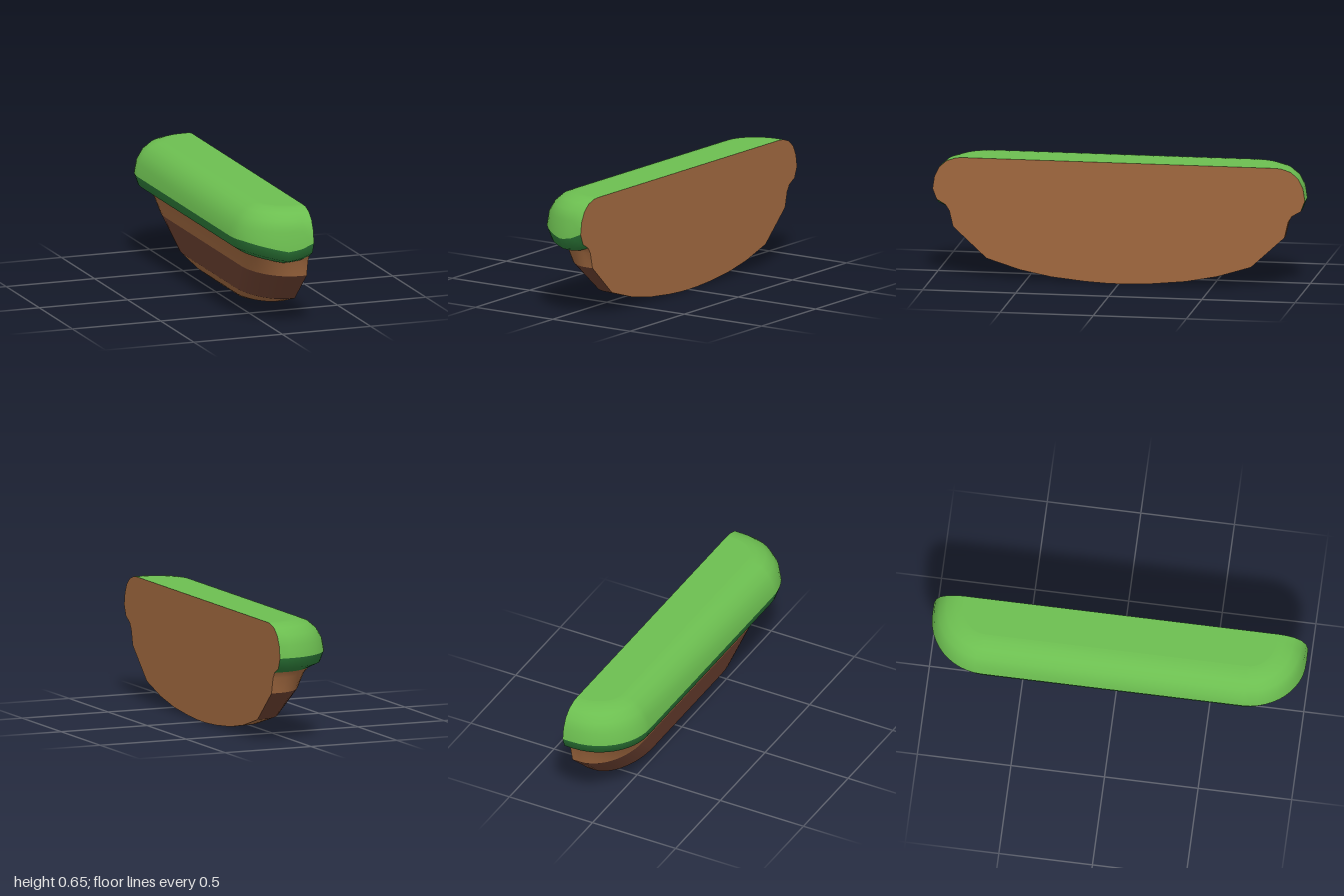
import * as THREE from 'three';

const CUT = 0.18; // x of the flat cut side

// Cross-sections, top to bottom: [y, side x, end z, z where the corner starts, dip at the front]
const crown = [
  [0.655, -0.02, 0.84, 0.70, 0], [0.652, -0.055, 0.875, 0.70, 0], [0.635, -0.10, 0.925, 0.70, 0],
  [0.60, -0.14, 0.965, 0.70, 0], [0.548, -0.17, 0.99, 0.70, 0], [0.482, -0.182, 1.0, 0.70, 0.042],
];
const rim = [crown[5], [0.425, -0.165, 0.978, 0.69, 0.042], [0.397, -0.115, 0.93, 0.66, 0.033]];
const neck = [[0.397, -0.115, 0.93, 0.66, 0], [0.365, -0.095, 0.91, 0.63, 0], [0.28, -0.072, 0.89, 0.57, 0]];
const slope = [neck[2], [0.114, -0.033, 0.71, 0.38, 0]];
const belly = [
  slope[1], [0.058, 0.008, 0.53, 0.28, 0], [0.025, 0.05, 0.36, 0.19, 0],
  [0.007, 0.09, 0.18, 0.09, 0], [0.001, 0.13, 0.07, 0.03, 0], [0, CUT, 0, 0, 0],
];

// Half outline of one level: cut edge, front corner, straight side, back corner, cut edge
function outline([y, x, z, start, dip]) {
  const half = [[CUT, z]];
  const rx = (CUT - x) * 0.83, rz = z - start, steps = 12;
  for (let i = 0; i <= steps; i++) {
    const a = (i / steps) * Math.PI / 2;
    half.push([x + rx * (1 - Math.sin(a)), start + rz * Math.cos(a)]);
  }
  half[1][1] = z;
  half.reverse(); // side first, for mirroring
  const front = half.slice().reverse().map(([px, pz]) => {
    const d = dip * Math.max(0, 1 - Math.abs(px - 0.045) / 0.2);
    return [px, y - (px < CUT ? d : 0), pz];
  });
  return [...front, ...half.map(([px, pz]) => [px, y, -pz])];
}

// Skin between successive levels
function loft(name, levels, color) {
  const rings = levels.map(outline), n = rings[0].length, index = [];
  for (let i = 0; i < rings.length - 1; i++) {
    for (let j = 0; j < n - 1; j++) {
      const a = i * n + j, b = a + n;
      index.push(a, a + 1, b, b, a + 1, b + 1);
    }
  }
  const g = new THREE.BufferGeometry();
  g.setAttribute('position', new THREE.Float32BufferAttribute(rings.flat(2), 3));
  g.setIndex(index);
  g.computeVertexNormals();
  return part(name, g, color);
}

function part(name, geometry, color) {
  const mesh = new THREE.Mesh(geometry, new THREE.MeshStandardMaterial({ color, side: THREE.DoubleSide }));
  mesh.name = name;
  return mesh;
}

export function createModel() {
  const model = new THREE.Group();
  model.name = 'grassPlatformEnd';
  const grass = 0x6cbe50, darkGrass = 0x2e7d3a, soil = 0xa0683f, darkSoil = 0x6b4030;

  // Grass layer
  model.add(loft('grassTop', [[0.655, CUT, 0, 0, 0], crown[0]], grass));
  model.add(loft('grassCrown', crown, grass));
  model.add(loft('grassRim', rim, darkGrass));

  // Soil bands
  model.add(loft('soilNeck', neck, soil));
  model.add(loft('soilSlope', slope, darkSoil));
  model.add(loft('soilBelly', belly, soil));

  // Flat cut side, following the ends of all levels
  const edge = [...crown, ...rim.slice(1), ...neck.slice(1), ...slope.slice(1), ...belly.slice(1)];
  const points = [
    ...edge.map(([y, , z]) => new THREE.Vector2(z, y)),
    ...edge.slice(0, -1).reverse().map(([y, , z]) => new THREE.Vector2(-z, y)),
  ];
  const face = new THREE.ShapeGeometry(new THREE.Shape(points));
  face.rotateY(Math.PI / 2).translate(CUT, 0, 0);
  model.add(part('cutFace', face, soil));
  return model;
}
